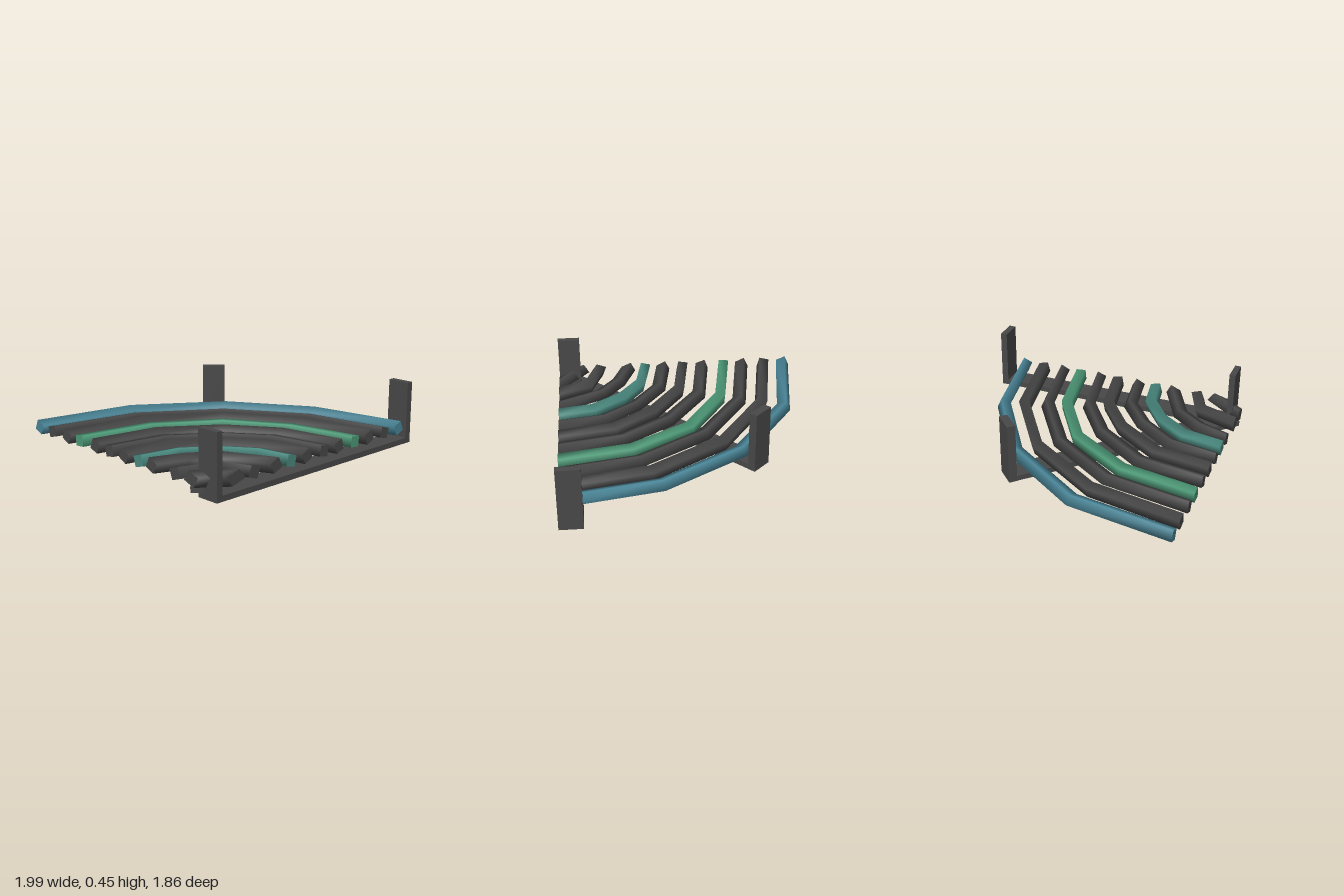
import * as THREE from 'three';

const mat = (name, color) => new THREE.MeshStandardMaterial({ name, color });

// Four-sided bar swept along a flat path of [x, z] points, mitred at the bends
// and cut square to the frame at both ends
function sweptBar(path, radius, y, tiltDeg) {
  const sides = 4, last = path.length - 1;
  const normals = [];
  for (let i = 0; i < last; i++) {
    const dx = path[i + 1][0] - path[i][0], dz = path[i + 1][1] - path[i][1];
    normals.push(new THREE.Vector2(dz, -dx).normalize());
  }
  const pos = [], index = [];
  path.forEach(([x, z], i) => {
    const n = normals[Math.min(i, last - 1)];
    let m;
    if (i === 0) m = new THREE.Vector2(0, -1);
    else if (i === last) m = new THREE.Vector2(1, 0);
    else m = normals[i - 1].clone().add(n).normalize();
    const stretch = 1 / m.dot(n);
    for (let j = 0; j < sides; j++) {
      const a = THREE.MathUtils.degToRad(tiltDeg) + (j / sides) * Math.PI * 2;
      const u = Math.cos(a) * radius * stretch;
      pos.push(x + m.x * u, y + Math.sin(a) * radius, z + m.y * u);
    }
  });
  for (let i = 0; i < last; i++) {
    for (let j = 0; j < sides; j++) {
      const a = i * sides + j, b = i * sides + (j + 1) % sides;
      index.push(a, b, a + sides, b, b + sides, a + sides);
    }
  }
  // end caps with their own corners
  const capStart = pos.length / 3;
  for (const ring of [0, last]) {
    pos.push(...pos.slice(ring * sides * 3, (ring + 1) * sides * 3));
  }
  const s = capStart, e = capStart + sides;
  index.push(s, s + 2, s + 1, s, s + 3, s + 2, e, e + 1, e + 2, e, e + 2, e + 3);
  const g = new THREE.BufferGeometry();
  g.setAttribute('position', new THREE.Float32BufferAttribute(pos, 3));
  g.setIndex(index);
  g.computeVertexNormals();
  return g;
}

export function createModel() {
  const model = new THREE.Group();
  model.name = 'curvedPipeRack';
  const dark = mat('darkGrey', 0x484848);
  const blue = mat('blue', 0x4a8698);
  const green = mat('green', 0x4d9a78);
  const teal = mat('teal', 0x4a8a80);

  const box = (name, w, h, d, x, y, z, parent = model) => {
    const mesh = new THREE.Mesh(new THREE.BoxGeometry(w, h, d), dark);
    mesh.name = name;
    mesh.position.set(x, y, z);
    parent.add(mesh);
    return mesh;
  };

  // Front support: flat rail with an upright at each end
  box('frontRail', 1.93, 0.04, 0.165, 0.035, 0.02, 0.84);
  box('frontRightPost', 0.045, 0.45, 0.165, -0.9075, 0.225, 0.84);
  box('frontLeftPost', 0.05, 0.45, 0.165, 0.975, 0.225, 0.84);

  // Diagonal support: gently sloping rail resting on the front one, with a post
  const diagonal = new THREE.Group();
  diagonal.name = 'diagonalSupport';
  diagonal.position.set(0.375, 0, -0.5);
  diagonal.rotation.y = Math.PI / 4;
  model.add(diagonal);
  const length = 1.85;
  const rail = box('diagonalRail', length, 0.04, 0.165, -length / 2, 0.02, 0, diagonal);
  const p = rail.geometry.attributes.position;
  for (let i = 0; i < p.count; i++) if (p.getX(i) < 0) p.setY(i, p.getY(i) + 0.04);
  rail.geometry.computeVertexNormals();
  box('diagonalPost', 0.06, 0.45, 0.165, -0.03, 0.225, 0, diagonal);

  // Nested bent bars, outermost first: path, corner tilt, colour
  const bars = [
    [[[-0.99, -0.88], [-0.24, -0.76], [0.36, -0.35], [0.73, 0.23], [0.86, 0.925]], -22, blue],
    [[[-0.99, -0.72], [-0.31, -0.6], [0.235, -0.24], [0.58, 0.29], [0.695, 0.925]], 30, dark],
    [[[-0.99, -0.545], [-0.37, -0.44], [0.11, -0.12], [0.42, 0.36], [0.525, 0.925]], -20, dark],
    [[[-0.99, -0.395], [-0.43, -0.3], [0.015, -0.02], [0.28, 0.41], [0.37, 0.925]], 40, green],
    [[[-0.99, -0.22], [-0.5, -0.145], [-0.12, 0.12], [0.12, 0.465], [0.205, 0.925]], -25, dark],
    [[[-0.99, -0.06], [-0.57, 0.005], [-0.235, 0.235], [-0.02, 0.525], [0.05, 0.925]], 35, dark],
    [[[-0.99, 0.095], [-0.635, 0.155], [-0.36, 0.35], [-0.175, 0.59], [-0.12, 0.925]], -18, dark],
    [[[-0.99, 0.245], [-0.69, 0.3], [-0.475, 0.45], [-0.315, 0.67], [-0.27, 0.925]], 30, teal],
    [[[-0.99, 0.375], [-0.76, 0.46], [-0.57, 0.6], [-0.41, 0.925]], -20, dark],
    [[[-0.99, 0.605], [-0.7, 0.705], [-0.61, 0.925]], 25, dark],
    [[[-0.99, 0.755], [-0.77, 0.925]], -20, dark],
  ];
  bars.forEach(([path, tilt, material], i) => {
    const mesh = new THREE.Mesh(sweptBar(path, 0.054, 0.13, tilt), material);
    mesh.name = `bentBar${i + 1}`;
    model.add(mesh);
  });
  return model;
}
